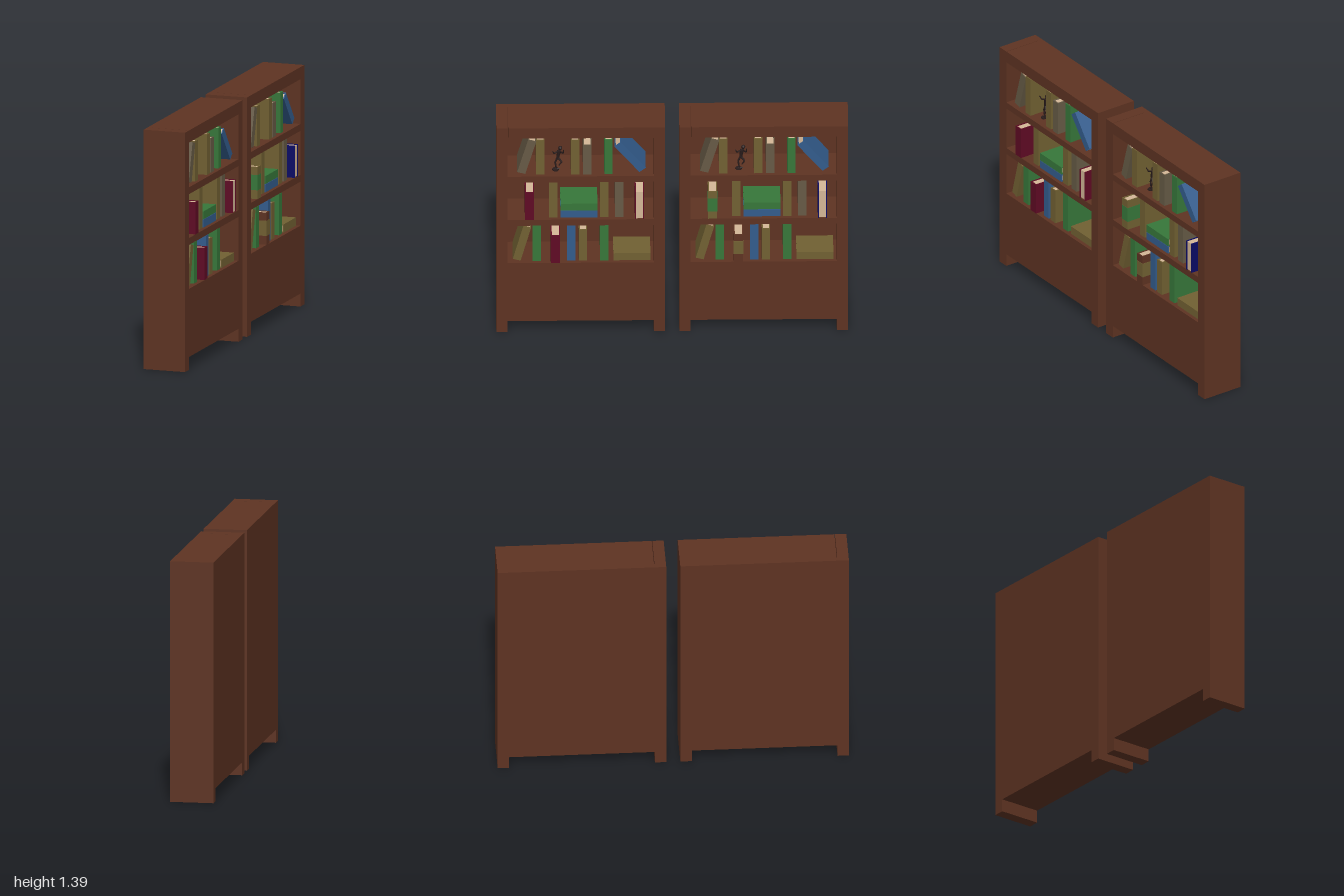
import * as THREE from 'three';

const mat = (name, color) => {
  const m = new THREE.MeshStandardMaterial({ color });
  m.name = name;
  return m;
};
const M = {
  wood: mat('brown wood', 0x5e3322),
  olive: mat('olive cover', 0x716032),
  taupe: mat('taupe cover', 0x665a45),
  green: mat('green cover', 0x37773a),
  blue: mat('blue cover', 0x335c8c),
  maroon: mat('maroon cover', 0x5f0a24),
  navy: mat('navy cover', 0x0a0a66),
  pages: mat('cream pages', 0xd4b797),
  dark: mat('dark figurine', 0x2a1d1c),
};

function box(parent, name, m, [x0, x1], [y0, y1], [z0, z1]) {
  const mesh = new THREE.Mesh(new THREE.BoxGeometry(x1 - x0, y1 - y0, z1 - z0), m);
  mesh.position.set((x0 + x1) / 2, (y0 + y1) / 2, (z0 + z1) / 2);
  mesh.name = name;
  parent.add(mesh);
  return mesh;
}

// Hardback: two boards, a spine on the +x side and an inset page block.
// s runs along the shelf towards -z; lean is in degrees towards -z.
function book(parent, colour, s, y, t, h, lean = 0, { front = 0.1, depth = 0.17, reversed = false, band } = {}) {
  const g = new THREE.Group();
  const d = depth / 2, c = 0.006, H = h / 2, T = t / 2;
  for (const k of [-1, 1]) {
    const z = k * (T - c / 2);
    box(g, 'coverBoard', M[colour], [-d, d], [-H, H], [z - c / 2, z + c / 2]);
  }
  box(g, 'spine', M[colour], [d - c, d], [-H, H], [-T + c, T - c]);
  box(g, 'pageBlock', M.pages, [-d + 0.004, d - c], [-H + 0.004, H - 0.004], [-T + c, T - c]);
  // painted band around the middle of the cover
  if (band) box(g, 'coverBand', M[band], [-d + 0.002, d + 0.001], [-H * 0.45, H * 0.5], [-T - 0.001, T + 0.001]);
  const holder = new THREE.Group();
  holder.name = 'book';
  if (reversed) g.rotation.y = Math.PI;
  holder.add(g);
  holder.position.set(front - d, y, -s);
  holder.rotation.x = -THREE.MathUtils.degToRad(lean);
  parent.add(holder);
}

// Small running figure made from thin limbs; points are [s, y, x]
function figurine(parent) {
  const g = new THREE.Group();
  g.name = 'figurine';
  const P = ([s, y, x = 0]) => new THREE.Vector3(x, y, -s);
  const limb = (name, a, b, r0, r1) => {
    const A = P(a), B = P(b), dir = B.clone().sub(A);
    const m = new THREE.Mesh(new THREE.CylinderGeometry(r1, r0, dir.length(), 6), M.dark);
    m.position.copy(A).add(B).multiplyScalar(0.5);
    m.quaternion.setFromUnitVectors(new THREE.Vector3(0, 1, 0), dir.normalize());
    m.name = name;
    g.add(m);
  };
  limb('torso', [0, 0.085], [0.008, 0.13], 0.008, 0.012);
  limb('upperArm', [0.008, 0.128], [-0.022, 0.118, 0.01], 0.005, 0.004);
  limb('forearm', [-0.022, 0.118, 0.01], [-0.03, 0.14, 0.02], 0.004, 0.003);
  limb('upperArm', [0.008, 0.128], [0.03, 0.105, -0.01], 0.005, 0.004);
  limb('forearm', [0.03, 0.105, -0.01], [0.034, 0.135], 0.004, 0.003);
  limb('thigh', [0, 0.085], [0.022, 0.06, 0.01], 0.007, 0.005);
  limb('shin', [0.022, 0.06, 0.01], [0.006, 0.035, 0.01], 0.005, 0.003);
  limb('thigh', [0, 0.085], [-0.015, 0.052], 0.007, 0.005);
  limb('shin', [-0.015, 0.052], [-0.008, 0.008], 0.005, 0.004);
  limb('foot', [-0.014, 0.008], [0.014, 0.006], 0.004, 0.003);
  limb('base', [-0.012, 0], [-0.012, 0.006], 0.02, 0.02);
  const head = new THREE.Mesh(new THREE.SphereGeometry(0.012, 8, 6), M.dark);
  head.position.copy(P([0.014, 0.148]));
  head.name = 'head';
  g.add(head);
  g.position.set(0.05, 1.06, 0.13);
  parent.add(g);
}

function bookcase(name, special) {
  const g = new THREE.Group();
  g.name = name;
  const X = [-0.13, 0.12], W = 0.48, I = 0.415;
  // ends running down to the feet
  box(g, 'leftEnd', M.wood, X, [0, 1.39], [I, W]);
  box(g, 'rightEnd', M.wood, X, [0, 1.39], [-W, -I]);
  box(g, 'backPanel', M.wood, [-0.13, -0.1], [0.075, 1.39], [-I, I]);
  // solid plinth, two shelves and the top board, with a fine seam at one end
  for (const [part, y0, y1, z1] of [
    ['plinth', 0.075, 0.47, I], ['shelf', 0.725, 0.765, I],
    ['shelf', 1.02, 1.06, I], ['topBoard', 1.32, 1.39, I - 0.003],
  ]) box(g, part, M.wood, [-0.1, 0.12], [y0, y1], [-I, z1]);

  // upright books: [colour, place, height], row by row
  const rows = [
    [1.06, [['olive', -0.23, 0.235], ['olive', -0.032, 0.235], ['taupe', 0.037, 0.2], ['green', 0.158, 0.235]]],
    [0.768, [['olive', -0.155, 0.24], ['olive', 0.134, 0.24], ['taupe', 0.219, 0.24]]],
    [0.472, [['green', -0.249, 0.24], ['blue', -0.053, 0.24], ['olive', 0.013, 0.21], ['green', 0.134, 0.24]]],
  ];
  for (const [floor, books] of rows)
    for (const [c, s, h] of books) book(g, c, s, floor + h / 2, 0.048, h);

  // leaning books
  book(g, 'taupe', -0.307, 1.182, 0.048, 0.228, 16);
  book(g, 'blue', 0.281, 1.175, 0.046, 0.225, -39);
  book(g, 'olive', -0.334, 0.592, 0.046, 0.232, 15);
  // books lying flat
  book(g, 'blue', -0.01, 0.789, 0.046, 0.21, 90);
  book(g, 'green', -0.01, 0.837, 0.046, 0.21, 90);
  book(g, 'olive', 0.291, 0.496, 0.048, 0.21, 90);
  // three books pulled slightly forward
  const places = [[-0.291, 0.861], [0.334, 0.861], [-0.144, 0.567]];
  special.forEach(([c, band], i) =>
    book(g, c, places[i][0], places[i][1], 0.053, 0.186, 0,
      { front: 0.125, depth: 0.14, reversed: i === 1, band }));
  figurine(g);
  return g;
}

export function createModel() {
  const model = new THREE.Group();
  model.name = 'bookcases';
  const a = bookcase('leftBookcase', [['maroon'], ['maroon'], ['maroon']]);
  const b = bookcase('rightBookcase', [['olive', 'green'], ['navy'], ['wood', 'olive']]);
  a.position.z = 0.52;
  b.position.z = -0.52;
  model.add(a, b);
  return model;
}
